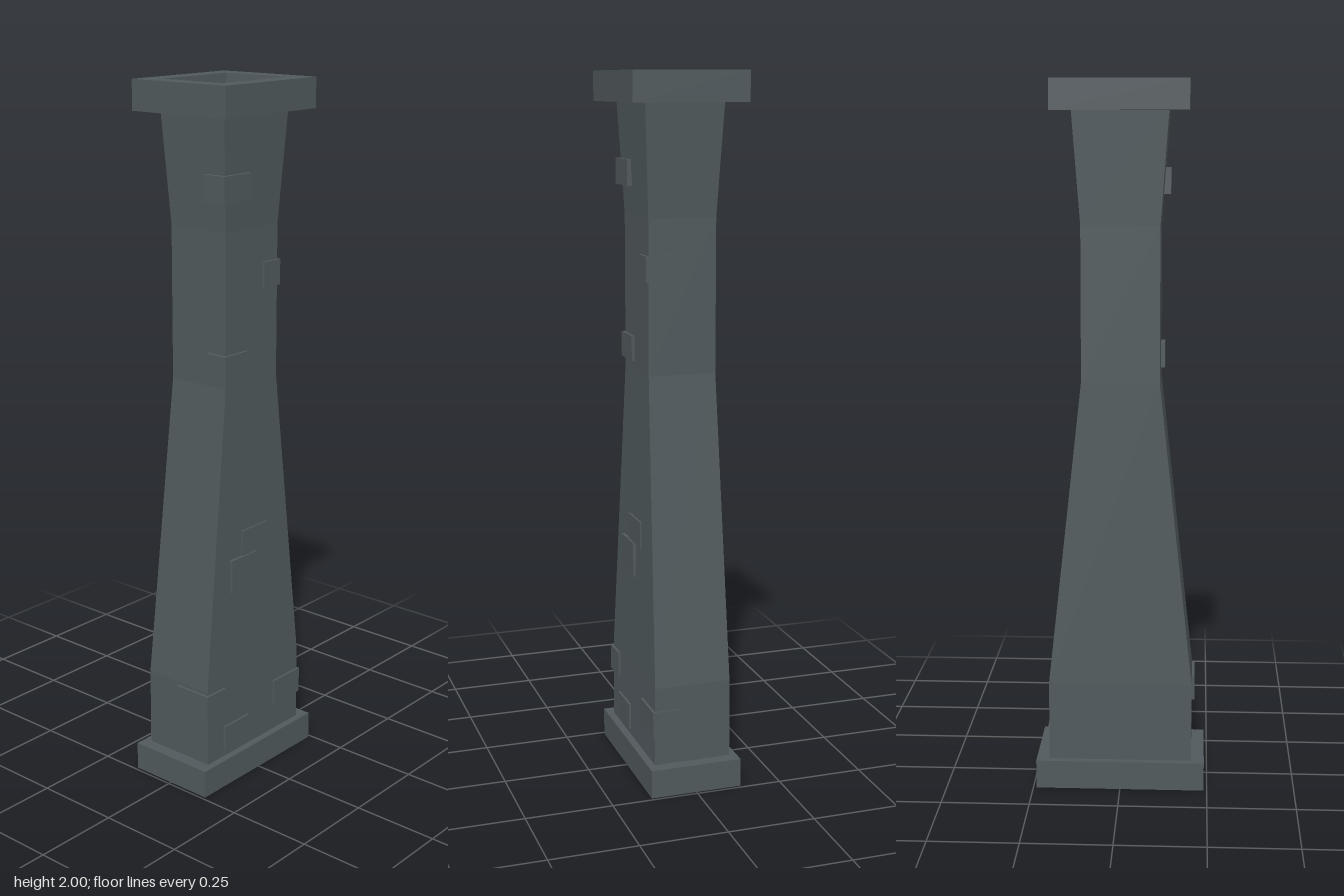
import * as THREE from 'three';

const stone = new THREE.MeshStandardMaterial({ color: 0x50595c });
stone.name = 'darkStone';

// Skin a stack of rectangular rings, each [halfWidth, y, halfDepth]
function loftRings(rings) {
  const corners = [[1, 1], [1, -1], [-1, -1], [-1, 1]];
  const at = ([w, y, d], i) => {
    const [sx, sz] = corners[i % 4];
    return [w * sx, y, d * sz];
  };
  const positions = [];
  for (let r = 0; r < rings.length - 1; r++) {
    for (let i = 0; i < 4; i++) {
      const a = at(rings[r], i), b = at(rings[r], i + 1);
      const c = at(rings[r + 1], i + 1), d = at(rings[r + 1], i);
      positions.push(...a, ...b, ...c, ...a, ...c, ...d);
    }
  }
  const geometry = new THREE.BufferGeometry();
  geometry.setAttribute('position', new THREE.Float32BufferAttribute(positions, 3));
  geometry.computeVertexNormals();
  return geometry;
}

export function createModel() {
  const model = new THREE.Group();
  model.name = 'chimney';

  const add = (name, geometry) => {
    const mesh = new THREE.Mesh(geometry, stone);
    mesh.name = name;
    model.add(mesh);
    return mesh;
  };
  const addBox = (name, x0, x1, y0, y1, z0, z1) =>
    add(name, new THREE.BoxGeometry(x1 - x0, y1 - y0, z1 - z0))
      .position.set((x0 + x1) / 2, (y0 + y1) / 2, (z0 + z1) / 2);

  // Base slab
  addBox('plinth', -0.241, 0.241, 0, 0.082, -0.133, 0.133);

  // Tapered stack, narrow at the waist and flared at the top
  add('shaft', loftRings([
    [0.204, 0.08, 0.112],
    [0.204, 0.31, 0.111],
    [0.109, 1.18, 0.097],
    [0.109, 1.61, 0.097],
    [0.132, 1.92, 0.112],
  ]));

  // Overhanging rim, running over the top edge and down into the flue
  add('cap', loftRings([
    [0.131, 1.917, 0.107],
    [0.187, 1.917, 0.163],
    [0.187, 2, 0.163],
    [0.131, 2, 0.107],
    [0.091, 1.727, 0.074],
  ]));
  add('flueFloor', new THREE.PlaneGeometry(0.182, 0.148).rotateX(-Math.PI / 2))
    .position.y = 1.727;

  // Slightly raised bricks: x range, y range, z range
  const bricks = [
    [-0.135, -0.025, 1.69, 1.762, 0.042, 0.115],
    [0.045, 0.113, 1.438, 1.51, 0.035, 0.105],
    [-0.12, -0.022, 1.203, 1.274, 0.035, 0.105],
    [-0.05, 0.06, 0.68, 0.755, 0.04, 0.109],
    [-0.1, 0.01, 0.58, 0.68, 0.04, 0.114],
    [-0.212, -0.133, 0.226, 0.3, 0, 0.118],
    [-0.135, -0.027, 0.1, 0.177, 0.04, 0.118],
    [0.09, 0.208, 0.165, 0.241, 0.04, 0.118],
  ];
  bricks.forEach((range, i) => addBox(`brick${i + 1}`, ...range));

  return model;
}
